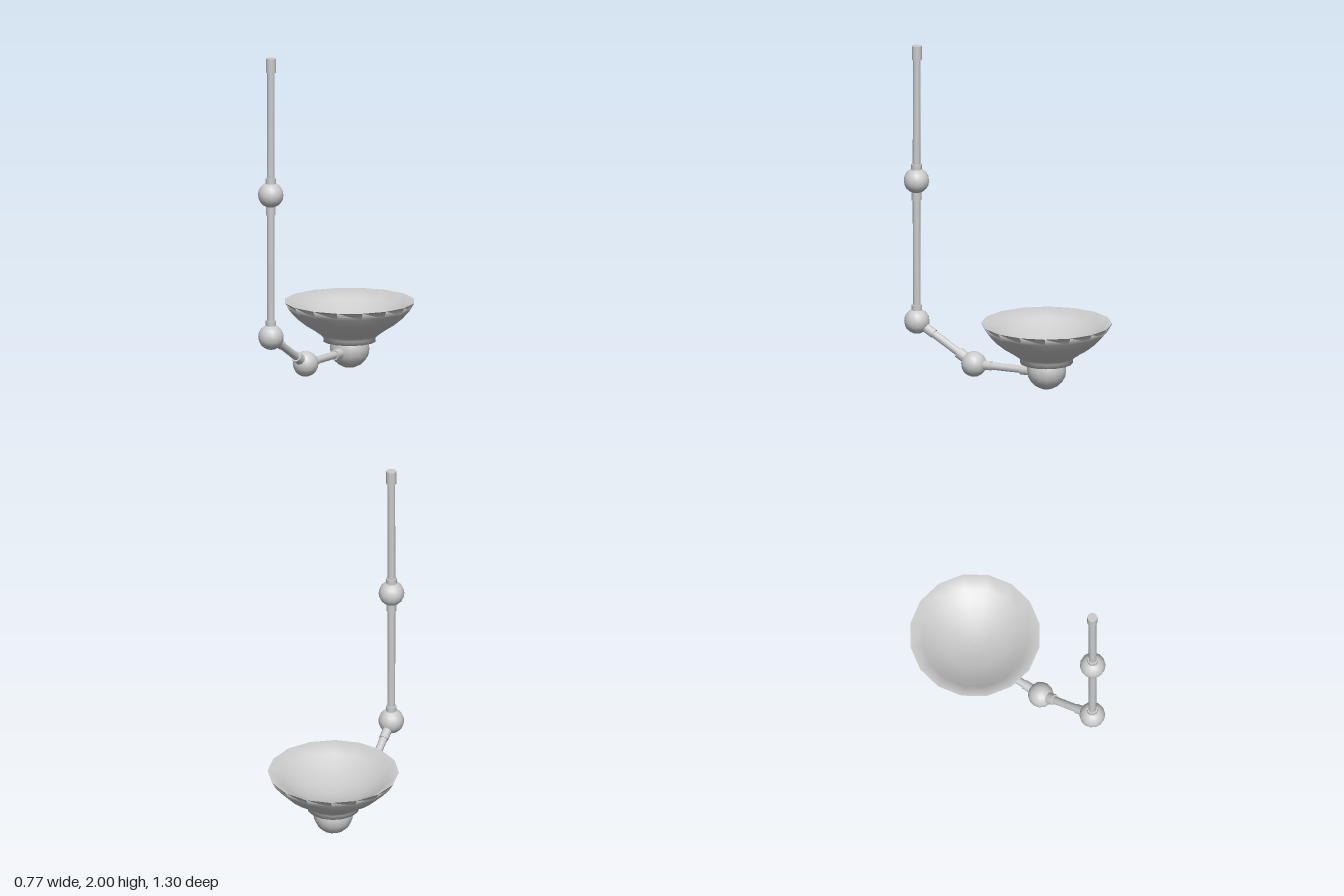
import * as THREE from 'three';

const material = new THREE.MeshStandardMaterial({ color: 0xcccccc });
const doubleSided = new THREE.MeshStandardMaterial({ color: 0xcccccc, side: THREE.DoubleSide });
const UP = new THREE.Vector3(0, 1, 0);

function addMesh(parent, name, geometry, mat = material) {
  const mesh = new THREE.Mesh(geometry, mat);
  mesh.name = name;
  parent.add(mesh);
  return mesh;
}

// A rod between two points; each collar is [start, end, radius], measured along it
function addArm(parent, name, from, to, collars) {
  const arm = new THREE.Group();
  arm.name = name;
  const direction = to.clone().sub(from);
  const length = direction.length();
  arm.position.copy(from);
  arm.quaternion.setFromUnitVectors(UP, direction.normalize());
  addMesh(arm, 'rod', new THREE.CylinderGeometry(0.023, 0.023, length - 0.01, 10)).position.y = length / 2 - 0.005;
  for (const [start, end, r] of collars) {
    addMesh(arm, 'collar', new THREE.CylinderGeometry(r, r, end - start, 10)).position.y = (start + end) / 2;
  }
  parent.add(arm);
}

function addBall(parent, name, position, radius) {
  addMesh(parent, name, new THREE.SphereGeometry(radius, 14, 10)).position.copy(position);
}

export function createModel() {
  const model = new THREE.Group();
  model.name = 'articulatedLamp';

  // Joint positions along the arm
  const at = (y, z) => new THREE.Vector3(0, y, z);
  const top = at(2, 0.571);
  const upper = at(1.18, 0.574);
  const elbow = at(0.325, 0.571);
  const wrist = at(0.102, 0.204);
  const headZ = -0.265;

  // Jointed arm
  addArm(model, 'upperArm', upper, top, [[0.06, 0.1, 0.032], [0.735, 0.82, 0.03]]);
  addArm(model, 'middleArm', elbow, upper, [[0.06, 0.1, 0.032], [0.735, 0.79, 0.029]]);
  addArm(model, 'lowerArm', wrist, elbow, [[0.06, 0.115, 0.033], [0.3, 0.37, 0.028]]);
  addArm(model, 'headArm', wrist, at(0.102, headZ), [[0.06, 0.115, 0.028], [0.305, 0.36, 0.032]]);
  addBall(model, 'upperJoint', upper, 0.076);
  addBall(model, 'elbowJoint', elbow, 0.076);
  addBall(model, 'wristJoint', wrist, 0.076);

  // Lamp head: ball socket under the dish
  const lamp = new THREE.Group();
  lamp.name = 'lampHead';
  lamp.position.z = headZ;
  model.add(lamp);
  addBall(lamp, 'socket', at(0.118, 0), 0.118);

  // Shade as one smooth shell: flange, flared outside, rim, shallow inside
  const profile = [
    [0.09, 0.165], [0.156, 0.16], [0.156, 0.185], [0.175, 0.203], [0.21, 0.228], [0.26, 0.259],
    [0.315, 0.303], [0.362, 0.355], [0.387, 0.4],
    [0.31, 0.352], [0.25, 0.312], [0.17, 0.275], [0.08, 0.254], [0.04, 0.2495], [0, 0.248],
  ].map(([r, y]) => new THREE.Vector2(r, y));
  addMesh(lamp, 'shade', new THREE.LatheGeometry(profile, 16), doubleSided);

  return model;
}
